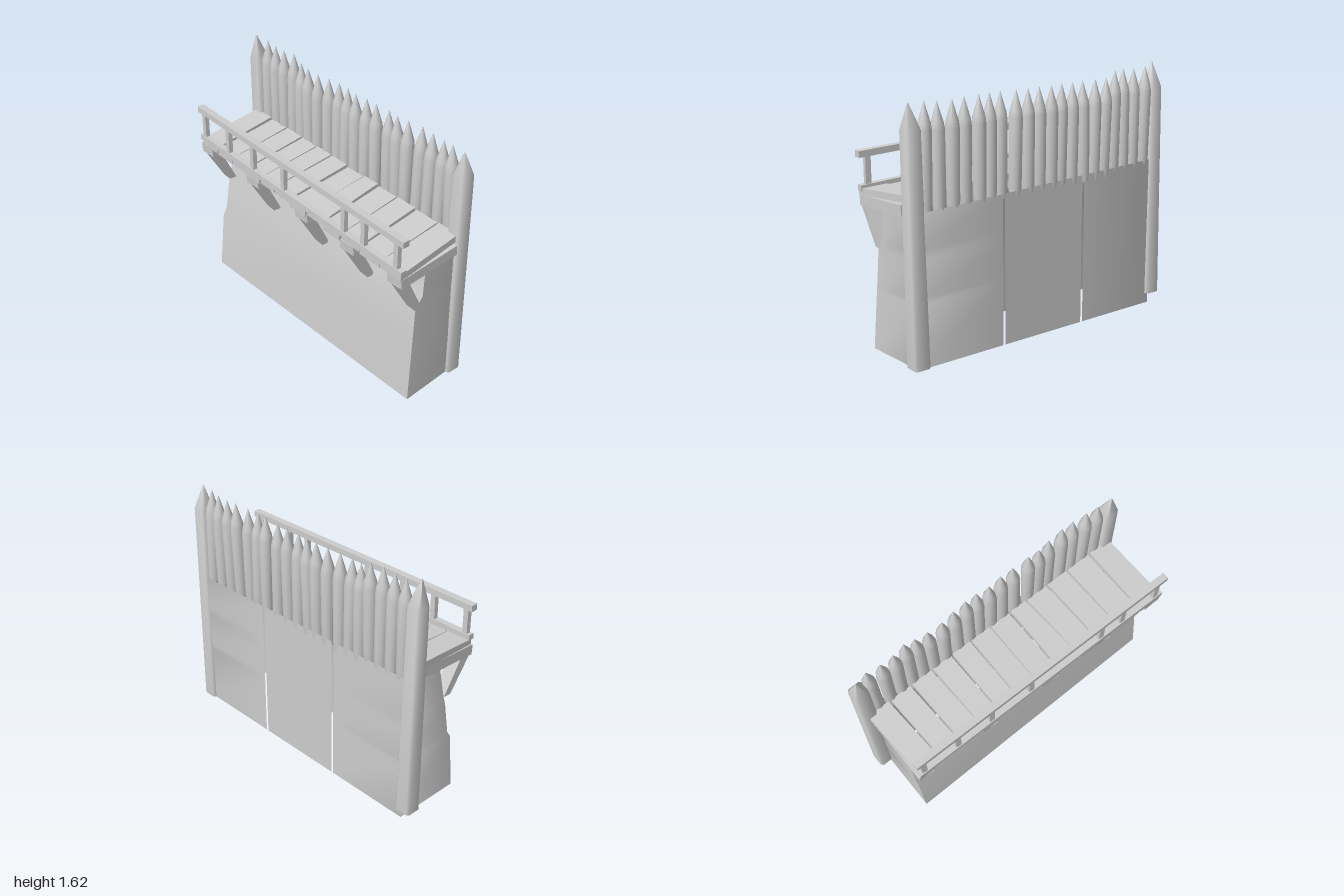
import * as THREE from 'three';
import { toCreasedNormals } from 'three/addons/utils/BufferGeometryUtils.js';

const V = (x, y, z) => new THREE.Vector3(x, y, z);
const lerp = THREE.MathUtils.lerp;

// Indexed grid surface from rows of points, smooth shaded
function surface(rows) {
  const n = rows[0].length, idx = [];
  for (let r = 0; r < rows.length - 1; r++)
    for (let c = 0; c < n - 1; c++) {
      const a = r * n + c;
      idx.push(a, a + 1, a + n + 1, a, a + n + 1, a + n);
    }
  const g = new THREE.BufferGeometry().setFromPoints(rows.flat());
  g.setIndex(idx);
  g.computeVertexNormals();
  return g;
}

// Closed solid through equal-sized rings, with end caps
function loft(rings, crease = 0.5) {
  const n = rings[0].length, idx = [], last = (rings.length - 1) * n;
  for (let r = 0; r < rings.length - 1; r++)
    for (let j = 0; j < n; j++) {
      const a = r * n + j, b = r * n + (j + 1) % n;
      idx.push(a, b, b + n, a, b + n, a + n);
    }
  for (let j = 1; j < n - 1; j++) {
    idx.push(0, j + 1, j);
    idx.push(last, last + j, last + j + 1);
  }
  const g = new THREE.BufferGeometry().setFromPoints(rings.flat());
  g.setIndex(idx);
  return toCreasedNormals(g, crease);
}

export function createModel() {
  const model = new THREE.Group();
  const grey = new THREE.MeshStandardMaterial({ color: 0xcccccc, side: THREE.DoubleSide });
  grey.name = 'paleGrey';
  let seed = 7;
  const rnd = () => ((seed = (seed * 16807) % 2147483647) / 2147483647) - 0.5;

  const add = (name, geo) => {
    const m = new THREE.Mesh(geo, grey);
    m.name = name;
    model.add(m);
    return m;
  };
  // Rectangular bar between two points
  const bar = (name, a, b, w, h) => {
    const m = add(name, new THREE.BoxGeometry(w, h, a.distanceTo(b)));
    m.position.copy(a).add(b).multiplyScalar(0.5);
    m.lookAt(b);
    return m;
  };

  // Hollow wall: battered front, sides and three back panels, open above and below
  const ys = [0, 0.39, 0.43, 0.65, 0.72, 1];
  const leftZ = [0.25, 0.21, 0.185, 0.15, 0.13, 0.08];
  const midZ = [0.18, 0.14, 0.13, 0.11, 0.08, 0.04];
  const rightZ = [0.11, 0.08, 0.077, 0.06, 0.01, 0];
  const rightX = [0.97, 0.955, 0.953, 0.945, 0.945, 0.945];
  const height = (x, i) => (i === 5 ? 0.965 - 0.03 * x : ys[i]);
  const frontHeight = (x, i) => (i === 5 ? 0.93 - 0.04 * x : ys[i]);
  const back = (x, i) => V(x, height(x, i), -0.27 - 0.068 * x);
  const leftCorner = i => V(-0.89, frontHeight(-0.89, i), leftZ[i]);
  const rightCorner = i => V(rightX[i], frontHeight(0.95, i), rightZ[i]);
  const rows = f => ys.map((_, i) => f(i));
  add('wallFront', surface(rows(i => [leftCorner(i), V(0.04, frontHeight(0.04, i), midZ[i]), rightCorner(i)])));
  add('wallLeftEnd', surface(rows(i => [rightCorner(i), back(0.91, i), back(0.297, i)])));
  add('wallBackPanel', surface(rows(i => [back(0.282, i), back(-0.323, i)])));
  add('wallRightEnd', surface(rows(i => [back(-0.338, i), back(-0.92, i), leftCorner(i)])));

  // Square chamfered corner posts with pointed tops
  const postRing = (c, s) => {
    const k = s * 0.72, pts = [[s, k], [s, -k], [k, -s], [-k, -s], [-s, -k], [-s, k], [-k, s], [k, s]];
    return pts.map(([x, z]) => V(c.x + x + 0.066 * z, c.y, c.z + z - 0.066 * x));
  };
  const post = (bottom, shoulder, tip) => add('cornerPost', loft([
    postRing(bottom, 0.054), postRing(shoulder, 0.048), postRing(tip, 0.003)], 0.9));
  post(V(-0.945, 0.07, -0.18), V(-0.942, 1.46, -0.165), V(-0.945, 1.62, -0.15));
  post(V(0.888, 0, -0.293), V(0.902, 1.41, -0.284), V(0.908, 1.56, -0.275));

  // Row of round sharpened stakes
  const tips = [-0.853, -0.77, -0.687, -0.603, -0.523, -0.44, -0.352, -0.253, -0.167, -0.095,
    0, 0.09, 0.185, 0.29, 0.368, 0.445, 0.54, 0.63, 0.722, 0.813];
  const stakeProfile = [[0, 0], [0.036, 0], [0.04, 0.04], [0.043, 0.47], [0.038, 0.51], [0.001, 0.635]]
    .map(([r, y]) => new THREE.Vector2(r, y));
  const stakeGeo = toCreasedNormals(new THREE.LatheGeometry(stakeProfile, 12), 0.7);
  tips.forEach(x => {
    const s = add('stake', stakeGeo);
    const top = x < -0.56 ? 1.6 : 1.56;
    s.position.set(x + rnd() * 0.01, top - 0.635 + rnd() * 0.01, -0.235 - 0.066 * x);
    s.rotation.set(rnd() * 0.03, rnd(), rnd() * 0.035);
  });

  // Walkway planks, sloping slightly down to the front
  const backX = [-0.96, -0.792, -0.632, -0.475, -0.325, -0.18, -0.03, 0.125, 0.255, 0.42, 0.58, 0.765, 0.93];
  const frontX = [-0.9, -0.735, -0.58, -0.425, -0.285, -0.145, 0.01, 0.165, 0.32, 0.475, 0.635, 0.81, 0.985];
  for (let i = 0; i < 12; i++) {
    const lift = rnd() * 0.012, reach = rnd() * 0.015;
    const ring = (l, r, y0, z0) => {
      const p = (x, dy) => V(x, y0 - 0.026 * x + lift + dy, z0 - 0.063 * x);
      return [p(l, -0.042), p(r, -0.042), p(r, 0), p(l, 0)];
    };
    const gap = 0.006 + 0.006 * Math.abs(rnd());
    add('plank', loft([
      ring(backX[i] + gap, backX[i + 1] - gap, 1.052, -0.2),
      ring(frontX[i] + gap * 0.5, frontX[i + 1] - gap * 0.5, 1.008, 0.275 + reach)]));
  }

  // Joists and tapered diagonal brackets below the planks
  [-0.85, -0.37, 0.11, 0.525, 0.925].forEach(x => {
    const y = 0.942 - 0.03 * x, z = 0.272 - 0.063 * x;
    bar('joist', V(x - 0.035, y + 0.03, -0.17 - 0.066 * x), V(x, y, z), 0.115, 0.065);
    const cross = (cx, cy, cz, w, t) => [
      V(cx - w, cy, cz + t), V(cx + w, cy, cz + t), V(cx + w, cy, cz - t), V(cx - w, cy, cz - t)];
    add('bracket', loft([
      cross(x - 0.005, y - 0.26, z - 0.165, 0.036, 0.026),
      cross(x, y - 0.02, z - 0.035, 0.05, 0.035)]));
  });

  // Guard rail: kerb, uprights and top rail
  const railPoint = (x, y) => V(x, y - 0.029 * x, 0.263 - 0.065 * x);
  bar('kerb', railPoint(-0.9, 1.026), railPoint(0.985, 1.018), 0.04, 0.036);
  bar('topRail', railPoint(-0.908, 1.224), railPoint(0.995, 1.224), 0.045, 0.04);
  [-0.86, -0.61, -0.36, -0.06, 0.49, 0.66, 0.93].forEach(x =>
    add('railUpright', new THREE.BoxGeometry(0.036, 0.2, 0.028))
      .position.copy(railPoint(x, 1.12)));

  return model;
}
